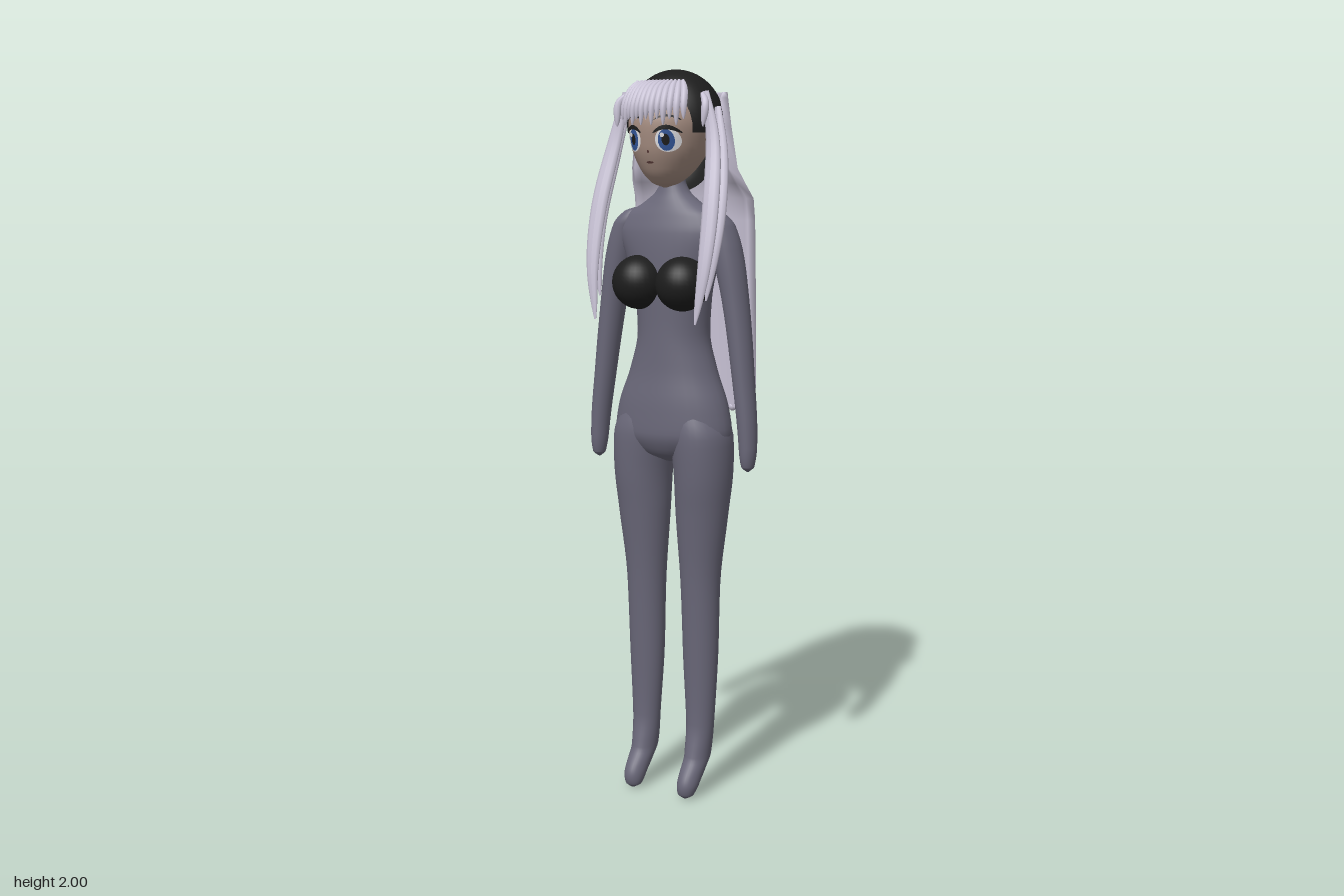
import * as THREE from 'three';

const mat = (name, color, side = THREE.FrontSide) => {
  const m = new THREE.MeshStandardMaterial({ color, side });
  m.name = name;
  return m;
};
const M = {
  suit: mat('slate suit', 0x696778),
  skin: mat('skin', 0xa48c80),
  black: mat('black', 0x1d1d1d, THREE.DoubleSide),
  hair: mat('lavender hair', 0xc9c3d6, THREE.DoubleSide),
  white: mat('eye white', 0xe6e6ea),
  blue: mat('iris blue', 0x34589c),
  mouth: mat('mouth brown', 0x5a3b38),
};

// Smooth, overshoot-free interpolation of rings [y, cx, cz, rx, rz]
function ringAt(rings, y) {
  const n = rings.length;
  let k = 0;
  while (k < n - 2 && y > rings[k + 1][0]) k++;
  const slope = (i, c) => (rings[i + 1][c] - rings[i][c]) / (rings[i + 1][0] - rings[i][0]);
  const tangent = (i, c) => {
    if (i === 0) return slope(0, c);
    if (i === n - 1) return slope(n - 2, c);
    const a = slope(i - 1, c), b = slope(i, c);
    return a * b <= 0 ? 0 : (2 * a * b) / (a + b);
  };
  const h = rings[k + 1][0] - rings[k][0], t = (y - rings[k][0]) / h;
  const t2 = t * t, t3 = t2 * t;
  return [1, 2, 3, 4].map((c) =>
    (2 * t3 - 3 * t2 + 1) * rings[k][c] + (t3 - 2 * t2 + t) * h * tangent(k, c) +
    (3 * t2 - 2 * t3) * rings[k + 1][c] + (t3 - t2) * h * tangent(k + 1, c));
}

// Closed grid of points to an indexed surface
function gridGeometry(rows, cols, closed, point) {
  const pos = [], idx = [];
  for (let i = 0; i < rows; i++) for (let j = 0; j < cols; j++) pos.push(...point(i, j));
  for (let i = 0; i < rows - 1; i++) {
    for (let j = 0; j < (closed ? cols : cols - 1); j++) {
      const a = i * cols + j, b = i * cols + (j + 1) % cols;
      idx.push(a, b, a + cols, b, b + cols, a + cols);
    }
  }
  const g = new THREE.BufferGeometry();
  g.setAttribute('position', new THREE.Float32BufferAttribute(pos, 3));
  g.setIndex(idx);
  g.computeVertexNormals();
  return g;
}

// Body part from elliptical rings, listed from the bottom up
function loft(rings, mirror = 1, seg = 32, sub = 5) {
  const ys = [];
  rings.forEach((r, i) => {
    if (i === rings.length - 1) return ys.push(r[0]);
    for (let s = 0; s < sub; s++) ys.push(r[0] + ((rings[i + 1][0] - r[0]) * s) / sub);
  });
  return gridGeometry(ys.length, seg, true, (i, j) => {
    const [cx, cz, rx, rz] = ringAt(rings, ys[i]);
    const a = (j / seg) * Math.PI * 2;
    return [mirror * cx + rx * Math.cos(a), ys[i], cz - rz * Math.sin(a)];
  });
}

// Tapered lock of hair, flattened by sx and sz
function lock(points, r, sx, sz) {
  const curve = new THREE.CatmullRomCurve3(points.map((p) => new THREE.Vector3(...p)));
  const n = 20, sides = 10;
  const g = new THREE.TubeGeometry(curve, n, r, sides, false);
  const p = g.attributes.position;
  for (let i = 0; i <= n; i++) {
    const c = curve.getPointAt(i / n);
    const k = Math.pow(Math.sin(Math.PI * (0.08 + (0.91 * i) / n)), 0.6);
    for (let j = 0; j <= sides; j++) {
      const v = i * (sides + 1) + j;
      p.setXYZ(v, c.x + (p.getX(v) - c.x) * k * sx, c.y + (p.getY(v) - c.y) * k, c.z + (p.getZ(v) - c.z) * k * sz);
    }
  }
  g.computeVertexNormals();
  return g;
}

const TORSO = [
  [0.945, 0, 0.012, 0.02, 0.03], [0.975, 0, 0.012, 0.12, 0.08], [1.03, 0, 0.012, 0.176, 0.1],
  [1.1, 0, 0.012, 0.165, 0.097], [1.2, 0, 0.01, 0.128, 0.088], [1.3, 0, 0.01, 0.104, 0.084],
  [1.4, 0, 0.012, 0.112, 0.082], [1.5, 0, 0.016, 0.14, 0.077], [1.57, 0, 0.018, 0.16, 0.069],
  [1.615, 0, 0.017, 0.14, 0.058], [1.65, 0, 0.015, 0.085, 0.048], [1.68, 0, 0.014, 0.048, 0.038],
  [1.71, 0, 0.013, 0.034, 0.032], [1.76, 0, 0.013, 0.032, 0.032],
];
const LEG = [
  [0, 0.086, 0.094, 0.004, 0.004], [0.012, 0.086, 0.09, 0.023, 0.022], [0.04, 0.087, 0.078, 0.03, 0.037],
  [0.07, 0.087, 0.055, 0.032, 0.045], [0.11, 0.087, 0.026, 0.035, 0.045], [0.2, 0.088, 0.014, 0.04, 0.038],
  [0.4, 0.087, 0.011, 0.051, 0.045], [0.6, 0.087, 0.013, 0.056, 0.053], [0.8, 0.092, 0.014, 0.073, 0.072],
  [0.91, 0.096, 0.013, 0.08, 0.086], [1.02, 0.09, 0.013, 0.085, 0.092], [1.12, 0.07, 0.012, 0.05, 0.07],
];
const ARM = [
  [0.935, 0.238, 0.022, 0.004, 0.004], [0.948, 0.238, 0.022, 0.017, 0.02], [1, 0.237, 0.02, 0.024, 0.028],
  [1.2, 0.217, 0.014, 0.03, 0.035], [1.4, 0.19, 0.01, 0.036, 0.041], [1.53, 0.163, 0.01, 0.042, 0.045],
  [1.59, 0.144, 0.011, 0.04, 0.043], [1.625, 0.125, 0.012, 0.024, 0.028], [1.635, 0.118, 0.012, 0.003, 0.003],
];
const FACE = [
  [1.69, 0, 0.055, 0.004, 0.004], [1.702, 0, 0.05, 0.035, 0.042], [1.74, 0, 0.037, 0.072, 0.086],
  [1.8, 0, 0.025, 0.101, 0.118], [1.86, 0, 0.02, 0.112, 0.126], [1.92, 0, 0.01, 0.1, 0.112],
  [1.945, 0, 0.008, 0.08, 0.084], [1.97, 0, 0, 0.05, 0.05], [1.98, 0, 0, 0.004, 0.004],
];
const faceZ = (x, y) => {
  const [, cz, rx, rz] = ringAt(FACE, y);
  return cz + rz * Math.sqrt(Math.max(0, 1 - (x / rx) ** 2));
};

// Thin oval laid on the face; bend curves it like a brow
function facePatch(x, y, rx, ry, lift, bend = 0) {
  const g = new THREE.RingGeometry(0, 1, 24, 4);
  const p = g.attributes.position;
  for (let i = 0; i < p.count; i++) {
    const u = p.getX(i), px = x + u * rx, py = y + p.getY(i) * ry - bend * u * u;
    p.setXYZ(i, px, py, faceZ(px, py) + lift);
  }
  g.computeVertexNormals();
  return g;
}

export function createModel() {
  const root = new THREE.Group();
  root.name = 'figure';
  const add = (name, geometry, material) => {
    const m = new THREE.Mesh(geometry, material);
    m.name = name;
    root.add(m);
    return m;
  };

  // Body
  add('torso', loft(TORSO), M.suit);
  add('face', loft(FACE), M.skin);

  // Dark hair: cap over the skull and shell behind the neck
  add('hairCap', new THREE.SphereGeometry(1, 40, 20, 0, Math.PI * 2, 0, 1.76)
    .scale(0.136, 0.14, 0.116).translate(0, 1.86, 0), M.black);
  add('hairNape', new THREE.SphereGeometry(1, 32, 16, Math.PI + 0.3, Math.PI - 0.6, Math.PI / 2, Math.PI / 2)
    .scale(0.136, 0.185, 0.116).translate(0, 1.86, 0), M.black);

  for (const s of [1, -1]) {
    const side = s > 0 ? 'left' : 'right';
    add(side + 'Leg', loft(LEG, s), M.suit);
    add(side + 'Arm', loft(ARM, s), M.suit);
    add(side + 'Cup', new THREE.SphereGeometry(0.073, 32, 20).translate(s * 0.068, 1.437, 0.08), M.black);

    // Eye layers, lash and brow
    add(side + 'EyeWhite', facePatch(s * 0.051, 1.815, 0.029, 0.031, 0.002), M.white);
    add(side + 'Iris', facePatch(s * 0.049, 1.815, 0.019, 0.028, 0.0035), M.blue);
    add(side + 'Pupil', facePatch(s * 0.049, 1.816, 0.009, 0.015, 0.005), M.black);
    add(side + 'EyeGlint', facePatch(s * 0.049 - 0.007, 1.828, 0.005, 0.006, 0.0065), M.white);
    add(side + 'Lash', facePatch(s * 0.051, 1.848, 0.033, 0.006, 0.005, 0.015), M.black);
    add(side + 'Brow', facePatch(s * 0.05, 1.878, 0.032, 0.003, 0.003, 0.012), M.black);

    // Long locks framing the face
    add(side + 'FrontLock', lock([[s * 0.122, 1.94, 0.055], [s * 0.15, 1.82, 0.065], [s * 0.172, 1.64, 0.115],
      [s * 0.172, 1.48, 0.15], [s * 0.155, 1.34, 0.165]], 0.022, 1.1, 0.5), M.hair);
    add(side + 'RearLock', lock([[s * 0.14, 1.9, 0.02], [s * 0.165, 1.78, 0.045], [s * 0.182, 1.62, 0.09],
      [s * 0.178, 1.5, 0.115], [s * 0.165, 1.4, 0.125]], 0.022, 1, 0.5), M.hair);
    add(side + 'ShortLock', lock([[s * 0.115, 1.935, 0.06], [s * 0.133, 1.91, 0.075], [s * 0.132, 1.85, 0.085]],
      0.011, 1, 0.9), M.hair);
  }
  add('mouth', facePatch(0, 1.757, 0.011, 0.003, 0.003), M.mouth);
  add('nose', facePatch(0, 1.785, 0.003, 0.004, 0.003), M.mouth);

  // Fringe
  const count = 13;
  for (let i = 0; i < count; i++) {
    const u = (i / (count - 1)) * 2 - 1, x = u * 0.09;
    const drop = (i % 2) * 0.015, back = 0.035 * u * u;
    add('fringeLock', lock([[x * 0.75, 1.968, 0.078], [x * 0.9, 1.945, 0.122 - back * 0.8],
      [x, 1.905, 0.148 - back], [x * 1.04, 1.868 - drop, 0.154 - back]], 0.0105, 1, 1), M.hair);
  }

  // Long back hair: curved slab, rows [y, half width, edge z, middle z, thickness]
  const rows = [
    [1.08, 0.19, -0.112, -0.172, 0.022], [1.35, 0.191, -0.108, -0.17, 0.022], [1.6, 0.19, -0.1, -0.164, 0.022],
    [1.66, 0.188, -0.094, -0.16, 0.022], [1.7, 0.178, -0.066, -0.15, 0.024], [1.74, 0.166, -0.044, -0.141, 0.026],
    [1.85, 0.15, -0.037, -0.137, 0.026], [1.925, 0.14, -0.036, -0.134, 0.022], [1.94, 0.136, -0.04, -0.13, 0.012],
  ];
  const half = 24;
  const slabPoint = (row, u, inner) => {
    const [y, w, ze, zc, th] = row;
    const k = inner ? th : 0;
    return [u * (w - k * 0.7), y, zc + (ze - zc) * Math.pow(Math.abs(u), 1.8) + k * (1 - 0.4 * Math.abs(u))];
  };
  add('backHair', gridGeometry(rows.length, half * 2 + 2, true, (i, j) => {
    const inner = j > half;
    const u = inner ? ((j - half - 1) / half) * 2 - 1 : 1 - (j / half) * 2;
    return slabPoint(rows[i], u, inner);
  }), M.hair);
  for (const [name, row, up] of [['backHairTop', rows[rows.length - 1], true], ['backHairBottom', rows[0], false]]) {
    add(name, gridGeometry(2, half + 1, false, (i, j) => slabPoint(row, (j / half) * 2 - 1, (i === 0) === up)), M.hair);
  }

  // Scalloped hem
  for (let i = 0; i < 15; i++) {
    const [x, y, z] = slabPoint(rows[0], (i / 14) * 1.9 - 0.95, false);
    add('hemScallop', new THREE.SphereGeometry(0.012, 10, 8).translate(x * 0.98, y, z + 0.01), M.hair);
  }
  return root;
}
